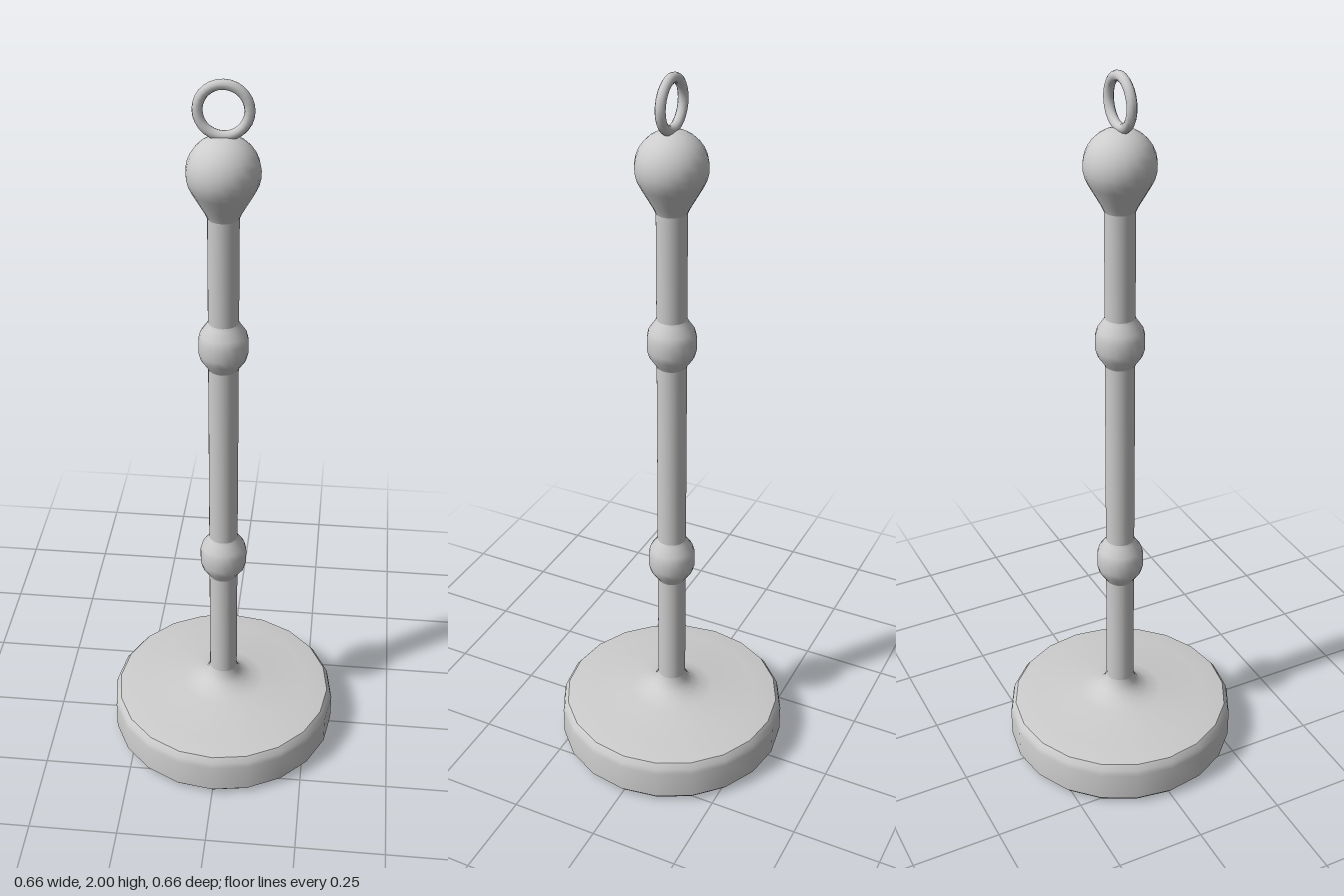
import * as THREE from 'three';
import { toCreasedNormals } from 'three/addons/utils/BufferGeometryUtils.js';

const SIDES = 20;

export function createModel() {
  const group = new THREE.Group();
  const metal = new THREE.MeshStandardMaterial({ color: 0xcccccc });
  metal.name = 'light grey metal';

  const add = (name, geometry, y = 0) => {
    const mesh = new THREE.Mesh(geometry, metal);
    mesh.name = name;
    mesh.position.y = y;
    group.add(mesh);
    return mesh;
  };

  // Turned part from [radius, height] points, listed from bottom to top
  const turn = (points) => toCreasedNormals(
    new THREE.LatheGeometry(points.map(([r, y]) => new THREE.Vector2(r, y)), SIDES),
    THREE.MathUtils.degToRad(40));

  // Weighted foot with bevelled rim and a flare up to the shaft
  add('base', turn([
    [0, 0], [0.312, 0], [0.328, 0.018], [0.328, 0.1], [0.324, 0.116], [0.313, 0.13],
    [0.25, 0.141], [0.12, 0.149], [0.085, 0.158], [0.06, 0.173], [0.046, 0.19], [0.04, 0.21],
  ]));

  // Straight shaft
  add('shaft', turn([[0.04, 0.21], [0.04, 1.66]]));

  // Two rounded collars around the shaft
  const collar = turn([
    [0.039, -0.07], [0.044, -0.06], [0.06, -0.037], [0.065, -0.018],
    [0.065, 0.018], [0.06, 0.037], [0.044, 0.06], [0.039, 0.07],
  ]);
  add('lowerCollar', collar, 0.62);
  add('upperCollar', collar, 1.3);

  // Ball finial, tapering down into the shaft
  const finial = [[0.04, 1.655], [0.047, 1.67]];
  for (let i = 0; i <= 10; i++) {
    const a = THREE.MathUtils.degToRad(-32 + 12.2 * i);
    finial.push([Math.max(0, 0.092 * Math.cos(a)), 1.772 + 0.092 * Math.sin(a)]);
  }
  add('finial', turn(finial));

  // Upright hanging ring
  add('ring', new THREE.TorusGeometry(0.062, 0.013, 10, 28), 1.925);

  return group;
}
